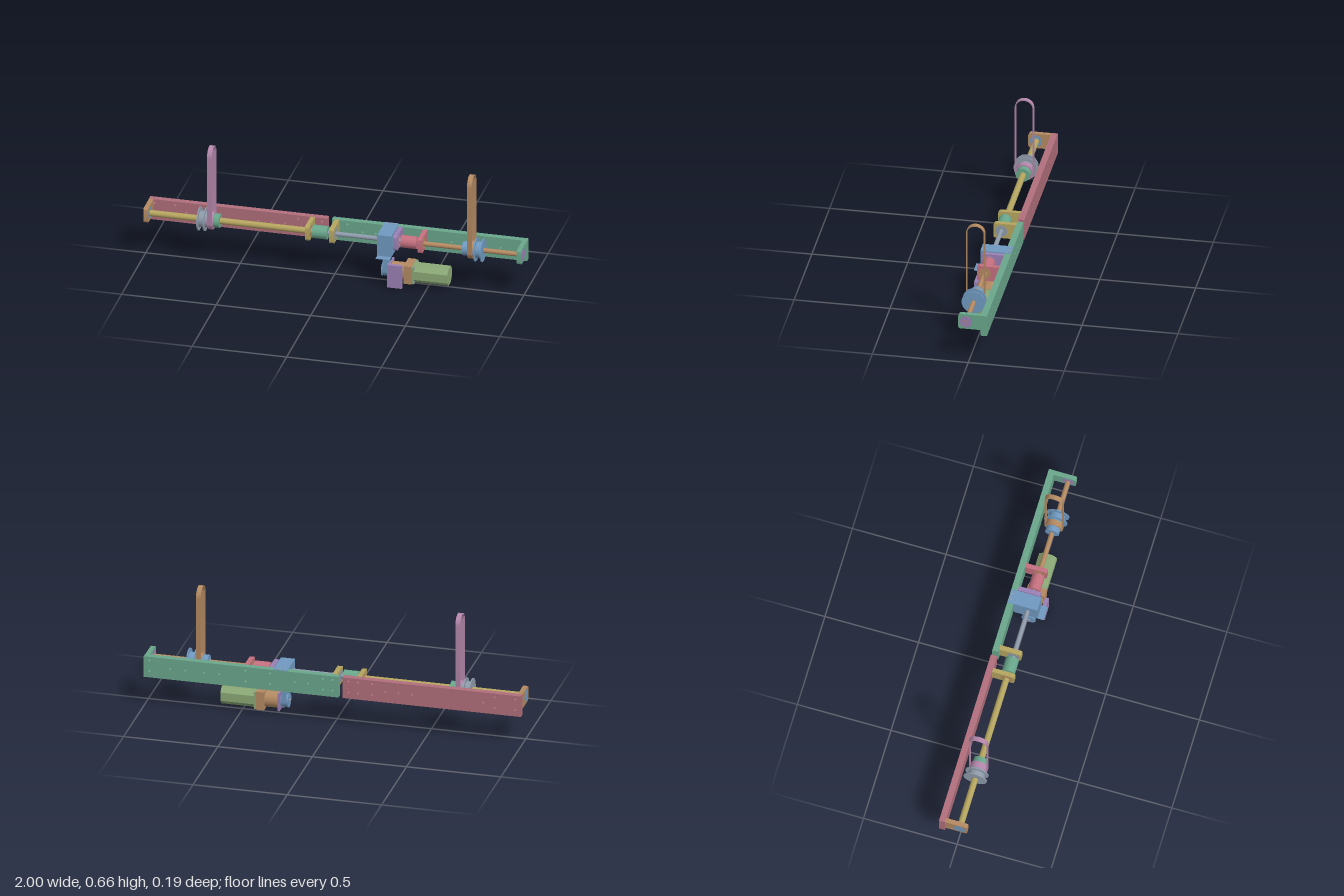
import * as THREE from 'three';
import { toCreasedNormals } from 'three/addons/utils/BufferGeometryUtils.js';

const mat = (name, color) => Object.assign(new THREE.MeshStandardMaterial({ color }), { name });
const M = {
  rose: mat('rose', 0xb06f7c), green: mat('green', 0x6aa78c), brown: mat('brown', 0xb48a62),
  yellow: mat('yellow', 0xb5a560), olive: mat('olive', 0x8ba876), purple: mat('purple', 0x9a80b5),
  blue: mat('blue', 0x7099c0), mauve: mat('mauve', 0xb487ab), grey: mat('grey', 0x8f9bab),
  pink: mat('pink', 0xc4707f),
};
const AY = 0.238, AZ = 0.012;   // drive axis
const MY = 0.071, MZ = 0.012;   // motor axis

export function createModel() {
  const root = new THREE.Group();
  root.name = 'beltDrive';

  const add = (name, geo, m, parent = root) => {
    const mesh = new THREE.Mesh(geo, m);
    mesh.name = name;
    parent.add(mesh);
    return mesh;
  };
  const box = (name, m, x0, x1, y0, y1, z0, z1) => {
    const g = new THREE.BoxGeometry(x1 - x0, y1 - y0, z1 - z0);
    g.translate((x0 + x1) / 2, (y0 + y1) / 2, (z0 + z1) / 2);
    return add(name, g, m);
  };
  // Cylinder lying along x
  const rod = (name, m, x0, x1, r, y = AY, z = AZ, seg = 32) => {
    const g = new THREE.CylinderGeometry(r, r, x1 - x0, seg).rotateZ(-Math.PI / 2);
    return add(name, g.translate((x0 + x1) / 2, y, z), m);
  };
  // Side profile (z, y) extruded along x
  const profile = (name, m, shape, x0, x1) => {
    let g = new THREE.ExtrudeGeometry(shape, { depth: x1 - x0, bevelEnabled: false, curveSegments: 24 });
    g = toCreasedNormals(g.rotateY(-Math.PI / 2).translate(x1, 0, 0), 0.6);
    return add(name, g, m);
  };
  const circle = (x, y, r) => new THREE.Path().absarc(x, y, r, 0, Math.PI * 2, true);

  // Long mounting beams with bolt holes
  const beam = (name, m, x0, x1, holes) => {
    const s = new THREE.Shape();
    s.moveTo(x0, 0.165).lineTo(x1, 0.165).lineTo(x1, 0.28).lineTo(x0, 0.28).closePath();
    for (const [x, y] of holes) s.holes.push(circle(x, y, 0.006));
    const g = new THREE.ExtrudeGeometry(s, { depth: 0.033, bevelEnabled: false, curveSegments: 6 });
    add(name, toCreasedNormals(g.translate(0, 0, -0.097), 0.9), m);
  };
  const pairs = (...xs) => xs.flatMap(x => [[x, 0.26], [x, 0.2]]);
  const row = (y, ...xs) => xs.map(x => [x, y]);
  beam('rightBeam', M.rose, -1, -0.055,
    [...pairs(-0.97, -0.86, -0.21, -0.135, -0.085), ...row(0.225, -0.8, -0.42, -0.35, -0.28)]);
  beam('leftBeam', M.green, -0.032, 1,
    [...pairs(0.97, 0.46, 0.33, 0.05, 0.0), ...row(0.225, 0.86, 0.78, 0.68, 0.6, 0.2, 0.13)]);

  // Bearing brackets with rounded front corners
  const bracket = (name, m, bearing, x0, x1) => {
    const s = new THREE.Shape(), r = 0.014, f = 0.053, b = -0.066, lo = 0.197, hi = 0.28;
    s.moveTo(b, lo).lineTo(f - r, lo).absarc(f - r, lo + r, r, -Math.PI / 2, 0, false);
    s.lineTo(f, hi - r).absarc(f - r, hi - r, r, 0, Math.PI / 2, false);
    s.lineTo(b, hi).closePath();
    s.holes.push(circle(AZ, AY, 0.031));
    profile(name, m, s, x0, x1);
    rod(name + 'Bearing', bearing, x0 - 0.001, x1 + 0.001, 0.032);
  };
  bracket('rightEndBracket', M.brown, M.blue, -1 + 0.001, -0.975);
  bracket('rightInnerBracket', M.yellow, M.brown, -0.145, -0.122);
  bracket('centreBracket', M.yellow, M.grey, -0.018, 0.008);
  bracket('couplingBracket', M.purple, M.mauve, 0.32, 0.343);
  bracket('leftInnerBracket', M.pink, M.brown, 0.45, 0.474);
  bracket('leftEndBracket', M.green, M.purple, 0.975, 0.999);

  // Shafts and couplings
  rod('rightShaft', M.yellow, -0.997, -0.1, 0.0165);
  rod('centreShaft', M.grey, -0.05, 0.36, 0.012);
  rod('leftShaft', M.brown, 0.42, 1, 0.0125);
  rod('centreCoupling', M.green, -0.112, -0.033, 0.035);
  rod('driveCoupling', M.pink, 0.357, 0.44, 0.033);

  // Belt pulleys with flanges, hub and clamp collar
  rod('rightPulleyHub', M.grey, -0.715, -0.665, 0.043);
  for (const x of [-0.715, -0.682]) rod('rightPulleyFlange', M.grey, x, x + 0.006, 0.062);
  rod('rightBeltPulley', M.mauve, -0.666, -0.632, 0.044);
  rod('rightCollar', M.green, -0.632, -0.602, 0.037);
  rod('leftPulleyHub', M.blue, 0.735, 0.79, 0.043);
  for (const x of [0.748, 0.784]) rod('leftPulleyFlange', M.blue, x, x + 0.006, 0.062);
  rod('leftBeltPulley', M.brown, 0.712, 0.742, 0.044);
  rod('leftCollar', M.blue, 0.682, 0.712, 0.037);

  // Closed belts: stadium outline with a thin wall
  const stadium = (C, r, y0, y1) => {
    const s = new C();
    s.absarc(AZ, y1, r, 0, Math.PI, false);
    s.absarc(AZ, y0, r, Math.PI, Math.PI * 2, false);
    s.closePath();
    return s;
  };
  const belt = (name, m, r, t, y0, y1, x0, x1) => {
    const s = stadium(THREE.Shape, r, y0, y1);
    s.holes.push(stadium(THREE.Path, r - t, y0, y1));
    profile(name, m, s, x0, x1);
  };
  belt('rightBelt', M.mauve, 0.049, 0.005, AY, 0.609, -0.661, -0.636);
  belt('leftBelt', M.brown, 0.049, 0.005, AY, 0.609, 0.714, 0.739);
  belt('motorBelt', M.blue, 0.035, 0.004, MY, AY, 0.264, 0.289);

  // Drive housing with top and bottom flanges
  box('driveHousing', M.blue, 0.24, 0.315, 0.165, 0.281, -0.06, 0.064);
  box('housingTopFlange', M.blue, 0.24, 0.315, 0.278, 0.283, -0.095, 0.064);
  box('housingFrontFlange', M.blue, 0.24, 0.315, 0.163, 0.166, 0.06, 0.098);
  for (const x of [0.262, 0.293]) {
    const g = new THREE.CylinderGeometry(0.006, 0.006, 0.003, 12);
    add('housingScrew', g.translate(x, 0.284, -0.083), M.grey);
  }

  // Motor pulley, mounting plate and gearbox
  rod('motorPulley', M.blue, 0.258, 0.296, 0.031, MY, MZ);
  rod('motorPulleyFlange', M.blue, 0.256, 0.26, 0.038, MY, MZ);
  rod('motorPulleyFlange', M.blue, 0.291, 0.295, 0.038, MY, MZ);
  rod('motorShaft', M.grey, 0.25, 0.31, 0.01, MY, MZ, 16);
  box('motorFrontPlate', M.purple, 0.298, 0.375, 0.002, 0.129, 0.066, 0.086);
  box('motorSidePlate', M.purple, 0.298, 0.308, 0.022, 0.12, -0.03, 0.067);
  for (const y of [0.038, 0.104]) {
    rod('plateScrew', M.grey, 0.296, 0.377, 0.004, y, 0.077, 10);
  }
  rod('gearboxBody', M.brown, 0.308, 0.385, 0.045, MY, MZ);
  box('gearboxFlange', M.brown, 0.378, 0.421, 0.021, 0.121, -0.038, 0.062);

  // Motor: square flange with screws and a chamfered body
  box('motorFlange', M.olive, 0.421, 0.432, 0.023, 0.119, -0.036, 0.06);
  for (const dy of [-0.039, 0.039]) for (const dz of [-0.039, 0.039]) {
    rod('motorScrew', M.grey, 0.43, 0.436, 0.006, MY + dy, MZ + dz, 12);
  }
  const h = 0.047, c = 0.023, body = new THREE.Shape();
  [[h, c], [c, h], [-c, h], [-h, c], [-h, -c], [-c, -h], [c, -h], [h, -c]].forEach(([z, y], i) => {
    body[i ? 'lineTo' : 'moveTo'](MZ + z, MY + y);
  });
  body.closePath();
  profile('motorBody', M.olive, body, 0.432, 0.61);

  return root;
}
